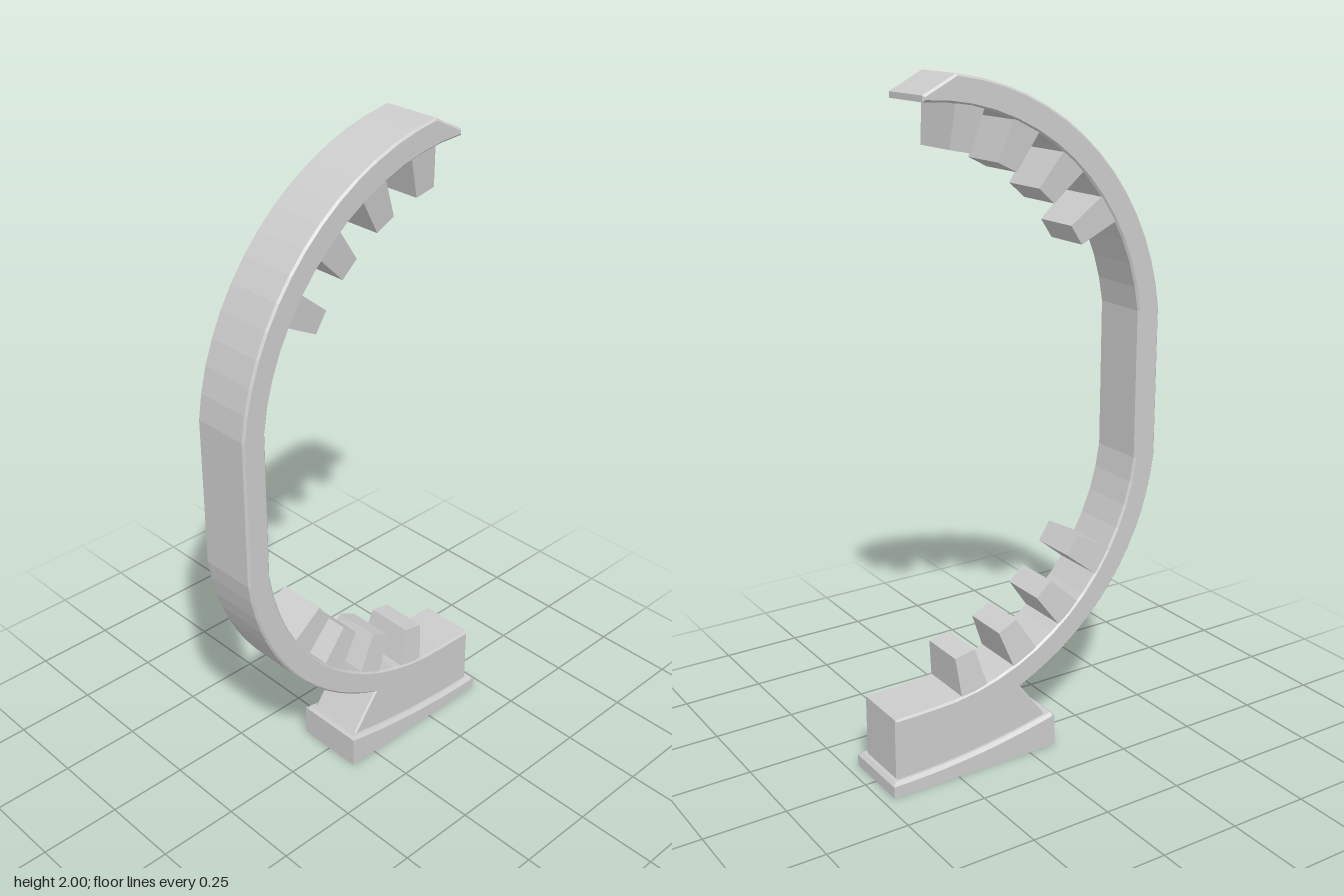
import * as THREE from 'three';

const CX = 0.32, MID = 1.085, ARC_Y = 1.22; // arc centre and mirror height
const R_IN = 0.715, R_OUT = 0.79;
const plinthTop = (x) => 0.045 + 0.065 * ((0.46 - x) / 0.55) ** 2;

export function createModel() {
  const group = new THREE.Group();
  const material = new THREE.MeshStandardMaterial({ color: 0xcccccc, flatShading: true });
  const add = (name, geometry, mat = material) => {
    const mesh = new THREE.Mesh(geometry, mat);
    mesh.name = name;
    group.add(mesh);
    return mesh;
  };

  // Points on an arc; upper arc when s = 1, mirrored lower arc when s = -1
  const arc = (r, a0, a1, s, n = 14) => Array.from({ length: n + 1 }, (_, i) => {
    const a = THREE.MathUtils.degToRad(a0 + (a1 - a0) * i / n);
    return new THREE.Vector2(CX + r * Math.cos(a), MID + s * (ARC_Y - MID + r * Math.sin(a)));
  });

  // C-shaped band and its foot as one bevelled extrusion
  const p = (x, y) => new THREE.Vector2(x, y);
  const footBottom = [];
  for (let i = 0; i <= 8; i++) {
    const x = -0.072 + 0.517 * i / 8;
    footBottom.push(p(x, plinthTop(x) - 0.008));
  }
  const outline = [
    p(0.32, 1.952),
    ...arc(R_OUT, 97.3, 173.5, 1),
    ...arc(R_OUT, 173.5, 112.3, -1),
    ...footBottom,
    p(0.445, 0.232),
    ...arc(R_IN, 90, 172.8, -1),
    ...arc(R_IN, 172.8, 90, 1),
  ];
  const bevel = 0.006, halfWidth = 0.092;
  const band = new THREE.ExtrudeGeometry(new THREE.Shape(outline), {
    depth: 2 * (halfWidth - bevel), steps: 1, bevelEnabled: true,
    bevelSize: bevel, bevelOffset: -bevel, bevelThickness: bevel, bevelSegments: 1,
  });
  band.translate(0, 0, -(halfWidth - bevel));
  add('bandAndFoot', band);

  // Tapered teeth pointing at the centre of each arc
  const toothGeometry = new THREE.BoxGeometry(1, 0.135, 1);
  const pos = toothGeometry.attributes.position;
  for (let i = 0; i < pos.count; i++) {
    const tip = pos.getY(i) < 0;
    pos.setX(i, pos.getX(i) * (tip ? 0.067 : 0.092));
    pos.setZ(i, pos.getZ(i) * (tip ? 0.148 : 0.178));
  }
  toothGeometry.computeVertexNormals();
  for (const s of [1, -1]) {
    for (let k = 0; k < 4; k++) {
      const a = THREE.MathUtils.degToRad(101.4 + 15 * k), r = 0.6625;
      const tooth = add(s > 0 ? 'upperTooth' : 'lowerTooth', toothGeometry);
      tooth.position.set(CX + r * Math.cos(a), MID + s * (ARC_Y - MID + r * Math.sin(a)), 0);
      tooth.rotation.z = s > 0 ? a - Math.PI / 2 : -a - Math.PI / 2;
    }
  }

  // Plinth: open-bottomed shell with a curved top and chamfered rim
  const xs = [-0.092];
  for (let i = 0; i <= 10; i++) xs.push(-0.082 + 0.537 * i / 10);
  xs.push(0.465);
  const verts = [], index = [];
  xs.forEach((x, i) => {
    const end = i === 0 || i === xs.length - 1;
    const y = plinthTop(x), low = y - 0.01, w = 0.11;
    const rim = end ? low : y;
    verts.push(x, 0, w, x, low, w, x, rim, w - 0.01, x, rim, 0.01 - w, x, low, -w, x, 0, -w);
  });
  for (let i = 0; i < xs.length - 1; i++) {
    for (let j = 0; j < 5; j++) {
      const a = i * 6 + j, b = a + 6;
      index.push(a, b, b + 1, a, b + 1, a + 1);
    }
  }
  // End walls
  const e = (xs.length - 1) * 6;
  index.push(0, 1, 4, 0, 4, 5, e, e + 4, e + 1, e, e + 5, e + 4);
  let plinth = new THREE.BufferGeometry();
  plinth.setAttribute('position', new THREE.Float32BufferAttribute(verts, 3));
  plinth.setIndex(index);
  plinth = plinth.toNonIndexed();
  plinth.computeVertexNormals();
  const shell = material.clone();
  shell.side = THREE.DoubleSide;
  add('plinth', plinth, shell);

  return group;
}
